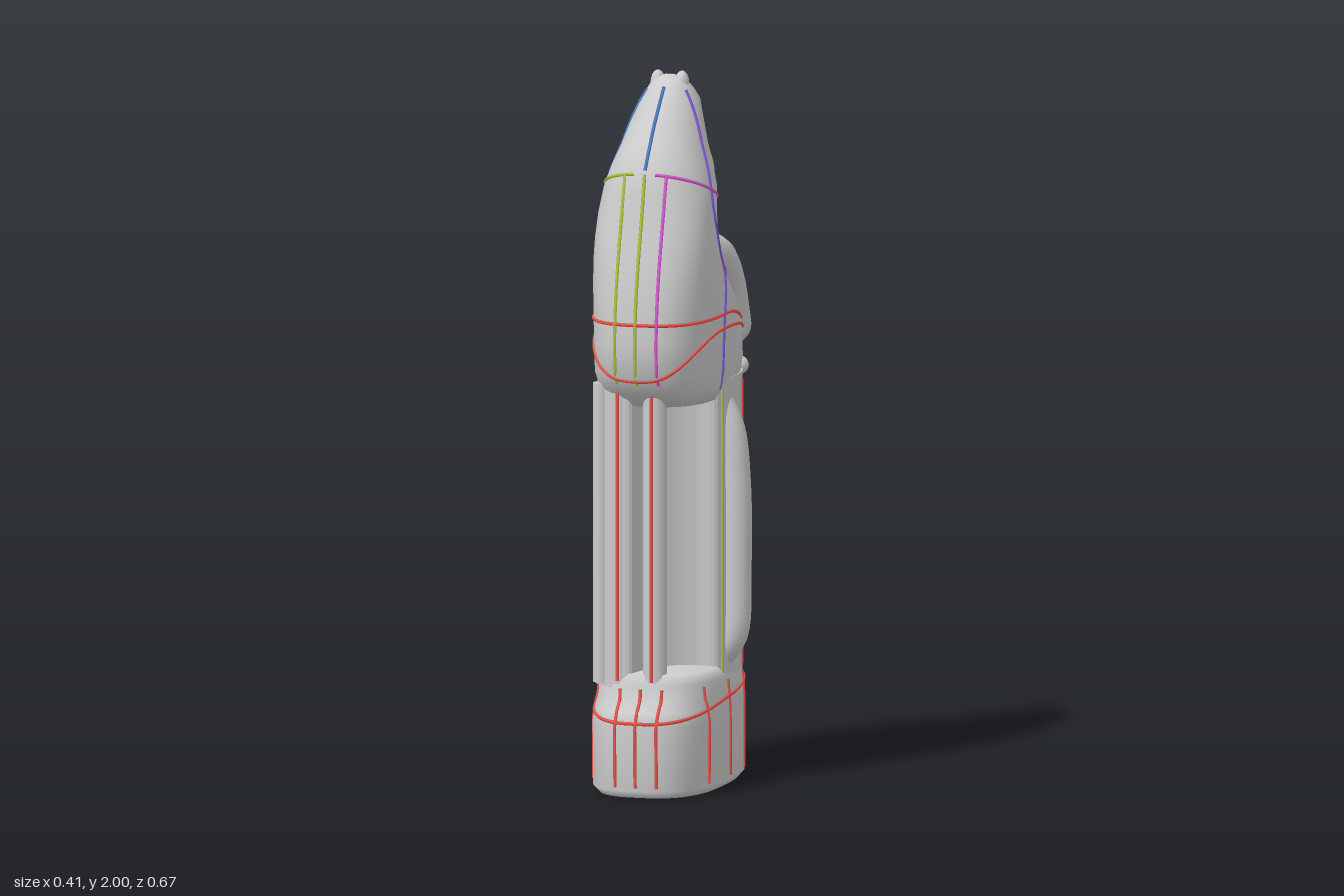
import * as THREE from 'three';

const CX = -0.02;
const grey = new THREE.MeshStandardMaterial({ color: 0xcccccc, side: THREE.DoubleSide });
const colours = { red: 0xe8544c, green: 0xa8c840, violet: 0xd85cd0, purple: 0x8058d8, blue: 0x4878c0 };
const seamMaterial = {};
for (const k in colours) seamMaterial[k] = new THREE.MeshStandardMaterial({ color: colours[k] });

// Horizontal sections: [y, front z, back z, half width, squareness]
const BASE = [
  [0.05, 0.03, 0.01, 0.01, 2.6], [0.05, 0.24, -0.2, 0.1, 2.6], [0.01, 0.28, -0.24, 0.125, 2.6],
  [0, 0.31, -0.27, 0.16, 2.8], [0.02, 0.33, -0.29, 0.178, 2.8], [0.2, 0.335, -0.293, 0.178, 2.8],
  [0.24, 0.315, -0.293, 0.176, 2.8], [0.27, 0.285, -0.29, 0.174, 2.8], [0.31, 0.28, -0.275, 0.17, 2.8],
  [0.34, 0.265, -0.235, 0.155, 2.8], [0.35, 0.03, 0.01, 0.01, 2.6],
];
const TOP = [
  [1.08, 0.03, 0.01, 0.01, 2.6], [1.09, 0.25, -0.22, 0.15, 2.8], [1.13, 0.285, -0.265, 0.168, 2.8],
  [1.18, 0.33, -0.29, 0.172, 2.8], [1.27, 0.335, -0.28, 0.173, 2.8], [1.35, 0.33, -0.21, 0.173, 2.7],
  [1.42, 0.32, -0.12, 0.172, 2.6], [1.49, 0.305, -0.05, 0.17, 2.5], [1.55, 0.29, -0.02, 0.167, 2.4],
  [1.62, 0.27, -0.025, 0.162, 2.4], [1.69, 0.255, -0.06, 0.153, 2.3], [1.75, 0.24, -0.08, 0.135, 2.2],
  [1.8, 0.205, -0.085, 0.117, 2.1], [1.86, 0.16, -0.09, 0.1, 2], [1.92, 0.105, -0.095, 0.08, 2],
  [1.95, 0.075, -0.065, 0.064, 2], [1.98, 0.045, -0.02, 0.045, 2], [1.99, 0.015, 0.005, 0.01, 2],
];

const pw = (v, n) => Math.sign(v) * Math.abs(v) ** (2 / n);
function sectionPoint([y, zf, zb, hx, n], a) {
  return new THREE.Vector3(CX + hx * pw(Math.cos(a), n), y, (zf + zb) / 2 + (zf - zb) / 2 * pw(Math.sin(a), n));
}
// Section of a table at any height
function sectionAt(table, y) {
  const i = Math.max(1, table.findIndex((r, k) => k > 0 && r[0] >= y && table[k - 1][0] < y));
  const [a, b] = [table[i - 1], table[i]];
  const t = (y - a[0]) / (b[0] - a[0] || 1);
  return a.map((v, k) => v + (b[k] - v) * t);
}

function loft(table, sides = 56) {
  const pos = [], index = [];
  table.forEach((s, i) => {
    for (let j = 0; j < sides; j++) {
      pos.push(...sectionPoint(s, (j / sides) * Math.PI * 2));
      if (i === table.length - 1) continue;
      const p = i * sides + j, q = i * sides + (j + 1) % sides;
      index.push(p, p + sides, q, q, p + sides, q + sides);
    }
  });
  const g = new THREE.BufferGeometry();
  g.setAttribute('position', new THREE.Float32BufferAttribute(pos, 3));
  g.setIndex(index);
  g.computeVertexNormals();
  return g;
}

export function createModel() {
  const model = new THREE.Group();
  const add = (name, geometry, material = grey) => {
    const m = new THREE.Mesh(geometry, material);
    m.name = name;
    model.add(m);
    return m;
  };
  const vec = (p) => new THREE.Vector3(...p);
  const ball = (name, p, s) => {
    const m = add(name, new THREE.SphereGeometry(1, 24, 16));
    m.position.set(...p);
    m.scale.set(...s);
  };
  // Rounded bar along a path
  const bar = (name, pts, r) => {
    add(name, new THREE.TubeGeometry(new THREE.CatmullRomCurve3(pts.map(vec)), 32, r, 16));
    for (const p of [pts[0], pts.at(-1)]) ball(name + 'End', p, [r, r, r]);
  };
  // Thin coloured seams
  const seam = (name, pts, colour, closed = false) => add(name, new THREE.TubeGeometry(
    new THREE.CatmullRomCurve3(pts, closed), pts.length * 2, 0.005, 6, closed), seamMaterial[colour]);
  const ringSeam = (name, table, heightOf, colour) => {
    const pts = [];
    for (let i = 0; i < 64; i++) {
      const a = ((i + 0.5) / 64) * Math.PI * 2;
      pts.push(sectionPoint(sectionAt(table, heightOf(Math.sin(a))), a));
    }
    seam(name, pts, colour, true);
  };
  const sideSeam = (name, table, zy, sign, colour) => {
    const path = new THREE.CatmullRomCurve3(zy.map(([z, y]) => new THREE.Vector3(0, y, z)));
    seam(name, path.getPoints(24).map((p) => {
      const [, zf, zb, hx, n] = sectionAt(table, p.y);
      const v = THREE.MathUtils.clamp((p.z - (zf + zb) / 2) / ((zf - zb) / 2), -1, 1);
      return new THREE.Vector3(CX + sign * hx * (1 - Math.abs(v) ** n) ** (1 / n), p.y, (zf + zb) / 2 + v * (zf - zb) / 2);
    }), colour);
  };
  const frontSeam = (name, table, x, y0, y1, colour) => {
    const pts = [];
    for (let i = 0; i <= 16; i++) {
      const y = y0 + (y1 - y0) * i / 16;
      const [, zf, zb, hx, n] = sectionAt(table, y);
      const u = Math.min(1, Math.abs(x - CX) / hx);
      pts.push(new THREE.Vector3(x, y, (zf + zb) / 2 + (zf - zb) / 2 * (1 - u ** n) ** (1 / n)));
    }
    seam(name, pts, colour);
  };

  // Foot and draped upper body with hood
  add('base', loft(BASE));
  add('upperBody', loft(TOP));

  // Column with a hollowed front corner; shape y is -z so it stands up when turned
  const outline = [[-0.19, -0.1], [-0.192, 0.1], [-0.175, 0.2], [-0.12, 0.26], [-0.06, 0.262], [-0.035, 0.2],
    [0.02, 0.12], [0.08, 0.08], [0.135, 0.06], [0.148, -0.08], [0.12, -0.2], [0.04, -0.235], [-0.1, -0.235], [-0.165, -0.19]];
  const curve = new THREE.CatmullRomCurve3(outline.map(([x, z]) => new THREE.Vector3(x, -z, 0)), true);
  const shape = new THREE.Shape(curve.getPoints(70).slice(0, 70).map((p) => new THREE.Vector2(p.x, p.y)));
  const column = new THREE.ExtrudeGeometry(shape, { depth: 0.84, bevelEnabled: false });
  column.rotateX(-Math.PI / 2).translate(0, 0.3, 0);
  add('column', column);

  // Free-standing front post and ribs
  const post = add('frontPost', new THREE.CylinderGeometry(0.033, 0.033, 0.86, 20));
  post.position.set(0.01, 0.73, 0.243);
  for (const [x, z] of [[-0.15, 0.235], [-0.09, 0.25]]) {
    const rib = add('frontRib', new THREE.CylinderGeometry(0.022, 0.022, 0.84, 14));
    rib.position.set(x, 0.73, z);
  }

  // Bowed bars on the left side and the back
  bar('sideBar', [[0.11, 0.36, -0.02], [0.15, 0.42, -0.02], [0.16, 0.6, -0.02], [0.158, 0.85, -0.02], [0.14, 1.0, -0.02], [0.1, 1.08, -0.02]], 0.046);
  bar('backBar', [[-0.12, 0.36, -0.215], [-0.13, 0.45, -0.268], [-0.13, 0.7, -0.285], [-0.13, 0.92, -0.272], [-0.12, 1.05, -0.215]], 0.05);

  // Folds down the back, cheeks of the hood, clasp below the hem
  for (const x of [-0.065, 0.085]) {
    bar('backFold', [[x * 0.8, 1.5, 0.02], [x, 1.47, -0.07], [x, 1.39, -0.155], [x, 1.26, -0.215]], 0.058);
  }
  ball('leftCheek', [0.035, 1.7, -0.045], [0.055, 0.1, 0.065]);
  ball('rightCheek', [-0.075, 1.7, -0.04], [0.05, 0.1, 0.06]);
  bar('clasp', [[0.1, 1.14, -0.25], [0.04, 1.13, -0.262], [-0.03, 1.14, -0.265]], 0.026);
  for (const x of [-0.055, 0.015]) ball('hoodTip', [x, 1.965, 0.01], [0.02, 0.035, 0.025]);

  // Seams around the foot and hem
  ringSeam('baseSeam', BASE, (s) => 0.255 - 0.045 * s, 'red');
  ringSeam('hemSeam', TOP, (s) => (s > 0 ? 1.33 : 1.33 - 0.13 * s * s), 'red');
  ringSeam('lowerHemSeam', TOP, (s) => 1.29 - (s > 0 ? 0.12 : 0.09) * s * s, 'red');
  // Seams mirrored on both sides
  for (const sign of [1, -1]) {
    const c = sign > 0 ? 'violet' : 'green';
    sideSeam('shoulderSeam', TOP, [[0.05, 1.47], [-0.06, 1.42], [-0.15, 1.36], [-0.27, 1.27]], sign, c);
    sideSeam('collarSeam', TOP, [[0.24, 1.74], [0.12, 1.69], [0, 1.64]], sign, c);
    sideSeam('hoodSeam', TOP, [[0.04, 1.95], [0.08, 1.8], [0.12, 1.64], [0.08, 1.53], [0.04, 1.45], [0.06, 1.3], [0.07, 1.12]], sign, sign > 0 ? 'purple' : 'blue');
    const x = sign > 0 ? 0.142 : -0.184;
    for (const [z, colour] of [[0.04, 'green'], [-0.14, 'red']]) {
      seam('columnSideSeam', [new THREE.Vector3(x, 0.32, z), new THREE.Vector3(x, 1.12, z)], colour);
    }
    for (const z of [0.18, 0.02, -0.14]) sideSeam('baseSideSeam', BASE, [[z, 0.03], [z, 0.3]], sign, 'red');
  }
  // Upright seams at front and back
  for (const [x, colour] of [[-0.08, 'green'], [-0.02, 'green'], [0.04, 'violet']]) {
    frontSeam('chestSeam', TOP, x, 1.16, 1.74, colour);
    frontSeam('baseFrontSeam', BASE, x, 0.03, 0.3, 'red');
  }
  frontSeam('hoodFrontSeam', TOP, -0.02, 1.75, 1.96, 'blue');
  for (const [x, z] of [[0.01, 0.276], [-0.09, 0.272], [-0.05, -0.238], [0.06, -0.234]]) {
    seam('columnSeam', [new THREE.Vector3(x, 0.32, z), new THREE.Vector3(x, 1.14, z)], 'red');
  }
  return model;
}
